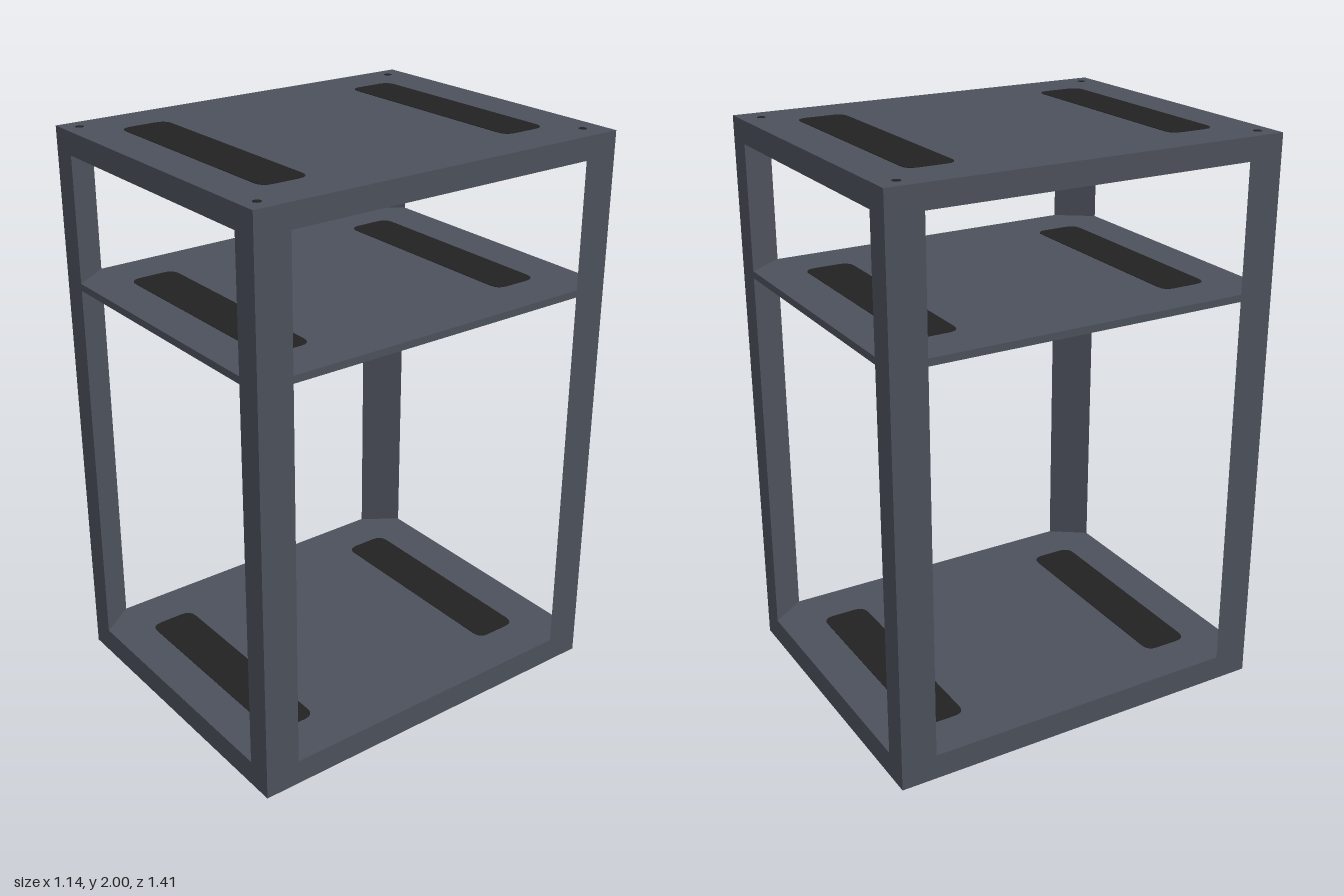
import * as THREE from 'three';

const HX = 0.57, HZ = 0.705, H = 2, T = 0.006;

export function createModel() {
  const model = new THREE.Group();
  model.name = 'equipmentRack';
  const steel = new THREE.MeshStandardMaterial({ color: 0x4d515c });
  steel.name = 'slate steel';
  const black = new THREE.MeshStandardMaterial({ color: 0x222222 });
  black.name = 'vent black';

  const add = (parent, name, geometry, material, x = 0, y = 0, z = 0) => {
    const mesh = new THREE.Mesh(geometry, material);
    mesh.name = name;
    mesh.position.set(x, y, z);
    parent.add(mesh);
    return mesh;
  };

  // Flat outline extruded upwards; shape y becomes -z
  const slab = (shape, height, curveSegments = 4) =>
    new THREE.ExtrudeGeometry(shape, { depth: height, bevelEnabled: false, curveSegments })
      .rotateX(-Math.PI / 2);

  // Vent slot with rounded corners
  const ventShape = () => {
    const w = 0.403, h = 0.085, r = 0.04;
    const s = new THREE.Shape();
    s.moveTo(-w + r, -h);
    s.lineTo(w - r, -h);
    s.quadraticCurveTo(w, -h, w, -h + r);
    s.lineTo(w, h - r);
    s.quadraticCurveTo(w, h, w - r, h);
    s.lineTo(-w + r, h);
    s.quadraticCurveTo(-w, h, -w, h - r);
    s.lineTo(-w, -h + r);
    s.quadraticCurveTo(-w, -h, -w + r, -h);
    return s;
  };

  // Pressed sheet: thin plate, folded-down lips and two dark vents seen from both sides
  const deck = (name, top, lip) => {
    const g = new THREE.Group();
    g.name = name;
    model.add(g);
    add(g, 'plate', new THREE.BoxGeometry(2 * HX, T, 2 * HZ), steel, 0, top - T / 2, 0);
    for (const s of [-1, 1]) {
      add(g, 'frontBackLip', new THREE.BoxGeometry(2 * HX, lip, T), steel, 0, top - lip / 2, s * (HZ - T / 2));
      add(g, 'sideLip', new THREE.BoxGeometry(T, lip, 2 * HZ), steel, s * (HX - T / 2), top - lip / 2, 0);
    }
    for (const z of [-0.465, 0.475])
      add(g, 'vent', slab(ventShape(), T + 0.003), black, -0.002, top - T - 0.0015, z);
  };
  deck('baseDeck', 0.09, 0.09);
  deck('shelf', 1.48, 0.025);
  deck('topDeck', H, 0.08);

  // Triangular corner posts with a diagonal inner face
  for (const sx of [-1, 1]) {
    for (const sz of [-1, 1]) {
      const post = new THREE.Shape([
        new THREE.Vector2(sx * HX, -sz * HZ),
        new THREE.Vector2(sx * (HX - 0.092), -sz * HZ),
        new THREE.Vector2(sx * HX, -sz * (HZ - 0.127)),
      ]);
      add(model, 'cornerPost', slab(post, H - T / 2), steel);
    }
  }

  // Small screw heads on the top corners
  for (const [x, z] of [[-0.51, -0.635], [0.49, -0.635], [-0.51, 0.65], [0.51, 0.65]])
    add(model, 'screw', new THREE.CylinderGeometry(0.014, 0.014, 0.002, 12), black, x, H, z);

  return model;
}
